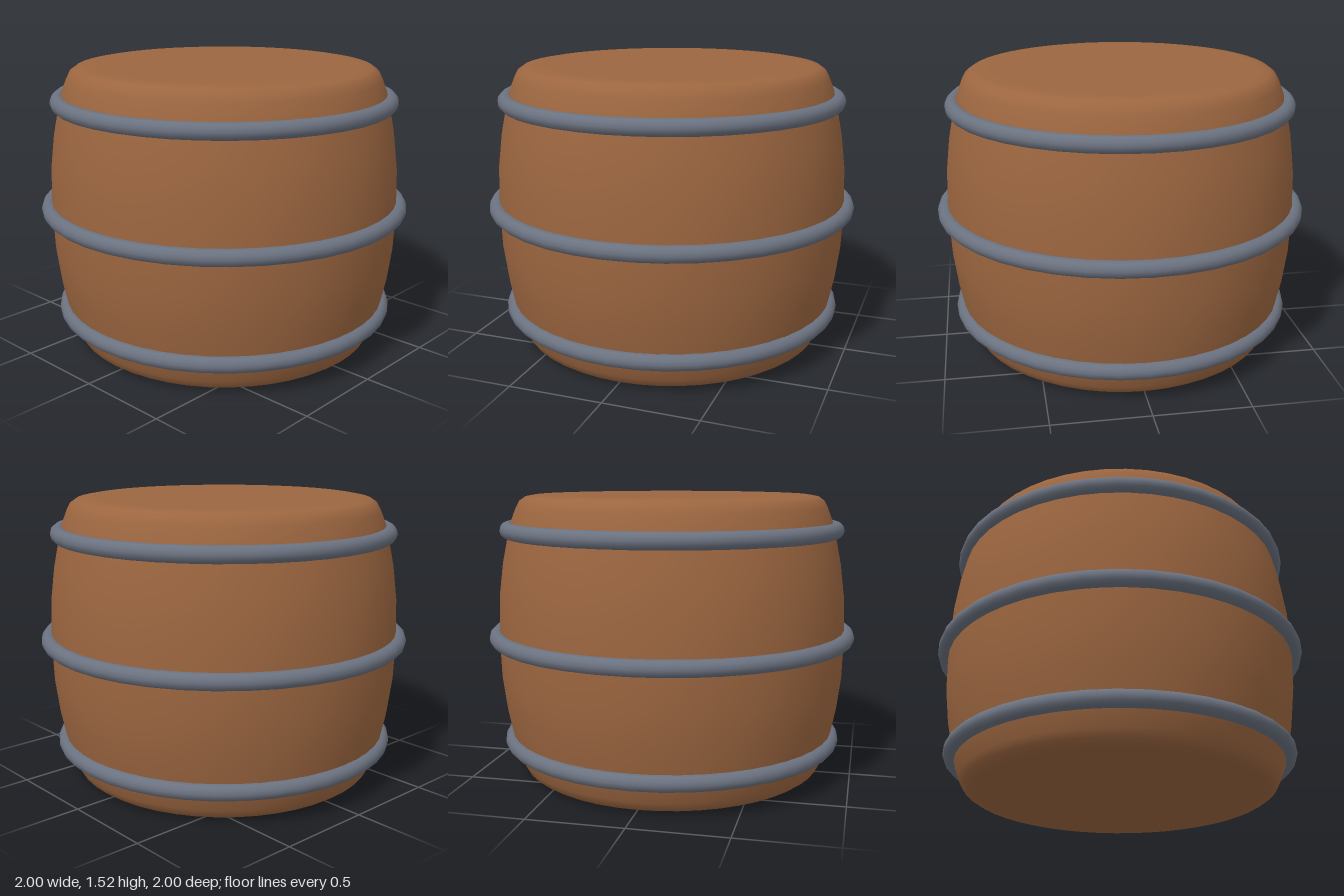
import * as THREE from 'three';

export function createModel() {
  const wood = new THREE.MeshStandardMaterial({ color: 0x9c6640 });
  wood.name = 'wood';
  const iron = new THREE.MeshStandardMaterial({ color: 0x6b7280 });
  iron.name = 'iron';

  const group = new THREE.Group();
  group.name = 'barrel';
  const midY = 0.762;

  // Upper half of the bulging side, then the rounded rim; mirrored for the lower half
  const half = [
    [0.945, 0], [0.938, 0.22], [0.915, 0.4], [0.882, 0.56], [0.867, 0.62],
    [0.84, 0.69], [0.82, 0.727], [0.79, 0.748], [0.74, 0.757], [0.68, 0.758], [0, 0.758],
  ];
  const profile = [
    ...half.slice(1).reverse().map(([r, y]) => new THREE.Vector2(r, midY - y)),
    ...half.map(([r, y]) => new THREE.Vector2(r, midY + y)),
  ];
  const body = new THREE.Mesh(new THREE.LatheGeometry(profile, 48), wood);
  body.name = 'barrelBody';
  group.add(body);

  // Three round hoops
  const hoops = [
    ['lowerHoop', 0.19, 0.887],
    ['middleHoop', midY, 0.957],
    ['upperHoop', 1.335, 0.887],
  ];
  for (const [name, y, radius] of hoops) {
    const hoop = new THREE.Mesh(new THREE.TorusGeometry(radius, 0.043, 12, 40), iron);
    hoop.name = name;
    hoop.rotation.x = Math.PI / 2;
    hoop.position.y = y;
    group.add(hoop);
  }
  return group;
}
